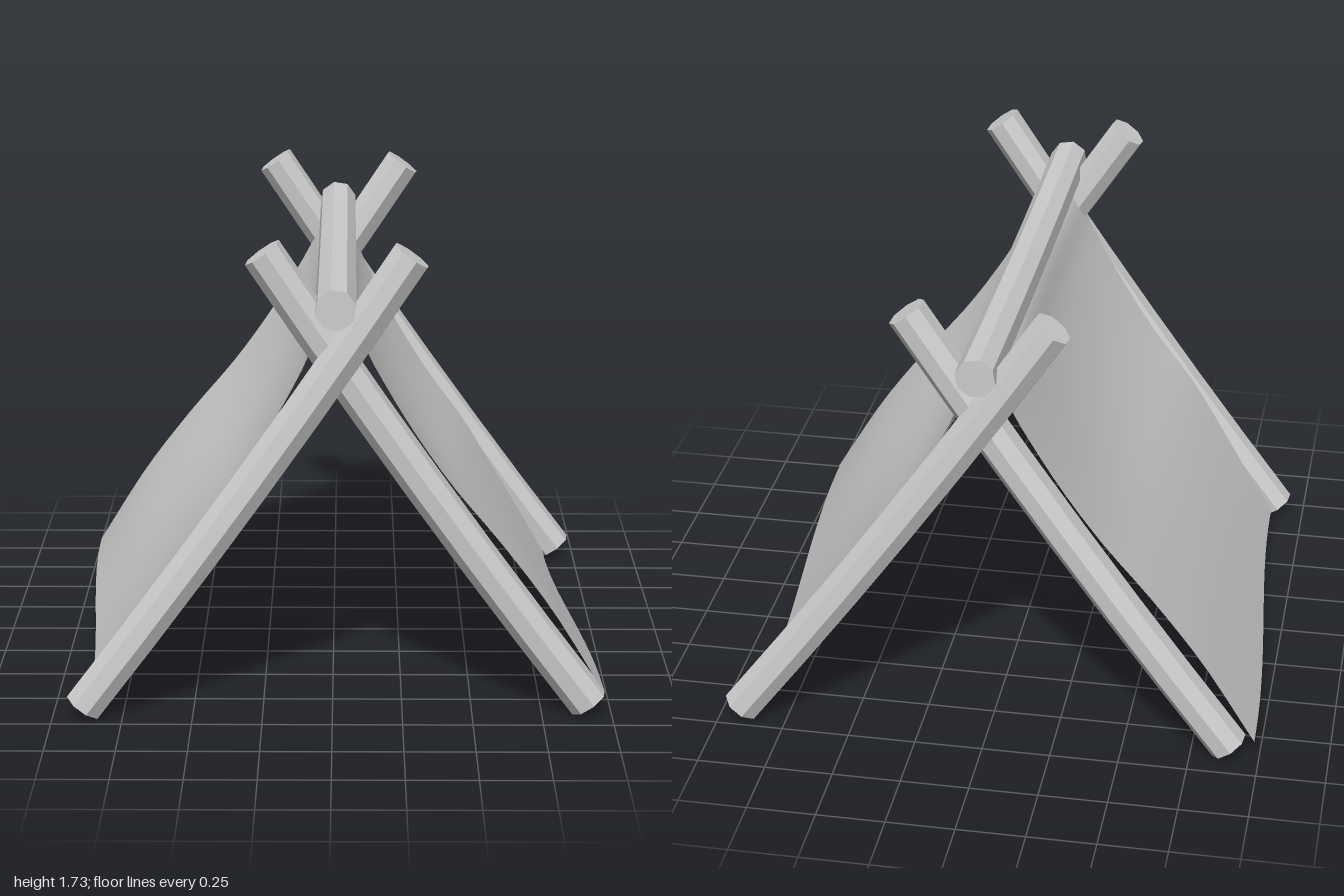
import * as THREE from 'three';

const woodMat = new THREE.MeshStandardMaterial({ color: 0xcccccc, flatShading: true });
const clothMat = new THREE.MeshStandardMaterial({ color: 0xcccccc, side: THREE.DoubleSide });
const R = 0.073;

// Eight-sided log along y, bowed sideways along its local x
function bowedLog(length, bow) {
  const geo = new THREE.CylinderGeometry(R, R, length, 8, 6);
  geo.rotateY(Math.PI / 8 * 0.6);
  const p = geo.attributes.position;
  for (let i = 0; i < p.count; i++) {
    const t = p.getY(i) / (length / 2);
    p.setX(i, p.getX(i) + bow * (1 - t * t));
  }
  return geo;
}

// Leaning pole from its foot on +x to its tip on -x
function pole(name, z) {
  const foot = new THREE.Vector2(0.903, 0.043), tip = new THREE.Vector2(-0.257, 1.687);
  const d = tip.clone().sub(foot);
  const mesh = new THREE.Mesh(bowedLog(d.length(), -0.018), woodMat);
  mesh.name = name;
  mesh.rotation.z = Math.atan2(-d.x, d.y);
  mesh.position.set((foot.x + tip.x) / 2, (foot.y + tip.y) / 2, z);
  return mesh;
}

const curve = (pts) => new THREE.CatmullRomCurve3(pts.map(([x, y]) => new THREE.Vector3(x, y, 0)));

// One cloth slope: rests over the front pole, tucks into the back pole.
// spread moves its lower edge outwards.
function clothSlope(spread) {
  const over = curve([[-0.01, 1.46], [0.06, 1.43], [0.13, 1.3], [0.26, 1.08], [0.41, 0.865], [0.6, 0.635], [0.78, 0.395], [0.975, 0.08]]);
  const tucked = curve([[-0.01, 1.46], [0.05, 1.42], [0.11, 1.28], [0.22, 1.07], [0.36, 0.845], [0.53, 0.61], [0.69, 0.35], [0.868, 0.045]]);
  const nu = 24, nv = 20, pos = [], idx = [];
  for (let j = 0; j <= nv; j++) {
    const v = j / nv, z = -0.88 + 1.78 * v;
    const w = THREE.MathUtils.smoothstep(v, 0, 1);
    const mid = Math.sin(Math.PI * v);
    for (let i = 0; i <= nu; i++) {
      const u = i / nu;
      const q = tucked.getPoint(u).lerp(over.getPoint(u), w);
      const sag = 0.05 * mid * Math.sin(Math.PI * u);
      pos.push(q.x + spread * u - 0.8 * sag, q.y - 0.6 * sag - 0.018 * mid * (1 - u), z);
      if (i < nu && j < nv) {
        const a = j * (nu + 1) + i, b = a + nu + 1;
        idx.push(a, b, a + 1, b, b + 1, a + 1);
      }
    }
  }
  const geo = new THREE.BufferGeometry();
  geo.setAttribute('position', new THREE.Float32BufferAttribute(pos, 3));
  geo.setIndex(idx);
  geo.computeVertexNormals();
  const mesh = new THREE.Mesh(geo, clothMat);
  mesh.name = 'clothSlope';
  return mesh;
}

export function createModel() {
  const tent = new THREE.Group();
  tent.name = 'tent';

  // Two halves, turned half a circle from each other
  for (const [side, turn, spread] of [['left', 0, -0.015], ['right', Math.PI, 0.022]]) {
    const half = new THREE.Group();
    half.name = side + 'Half';
    half.add(pole('innerPole', 0.88), pole('outerPole', -0.925), clothSlope(spread));
    half.rotation.y = turn;
    half.position.x = 0.015;
    tent.add(half);
  }

  // Ridge log, sagging slightly in the middle
  const ridgeGeo = bowedLog(2, -0.015);
  ridgeGeo.rotateZ(Math.PI / 2).rotateY(Math.PI / 2);
  const ridge = new THREE.Mesh(ridgeGeo, woodMat);
  ridge.name = 'ridgePole';
  ridge.position.set(0.012, 1.511, 0);
  tent.add(ridge);
  return tent;
}
